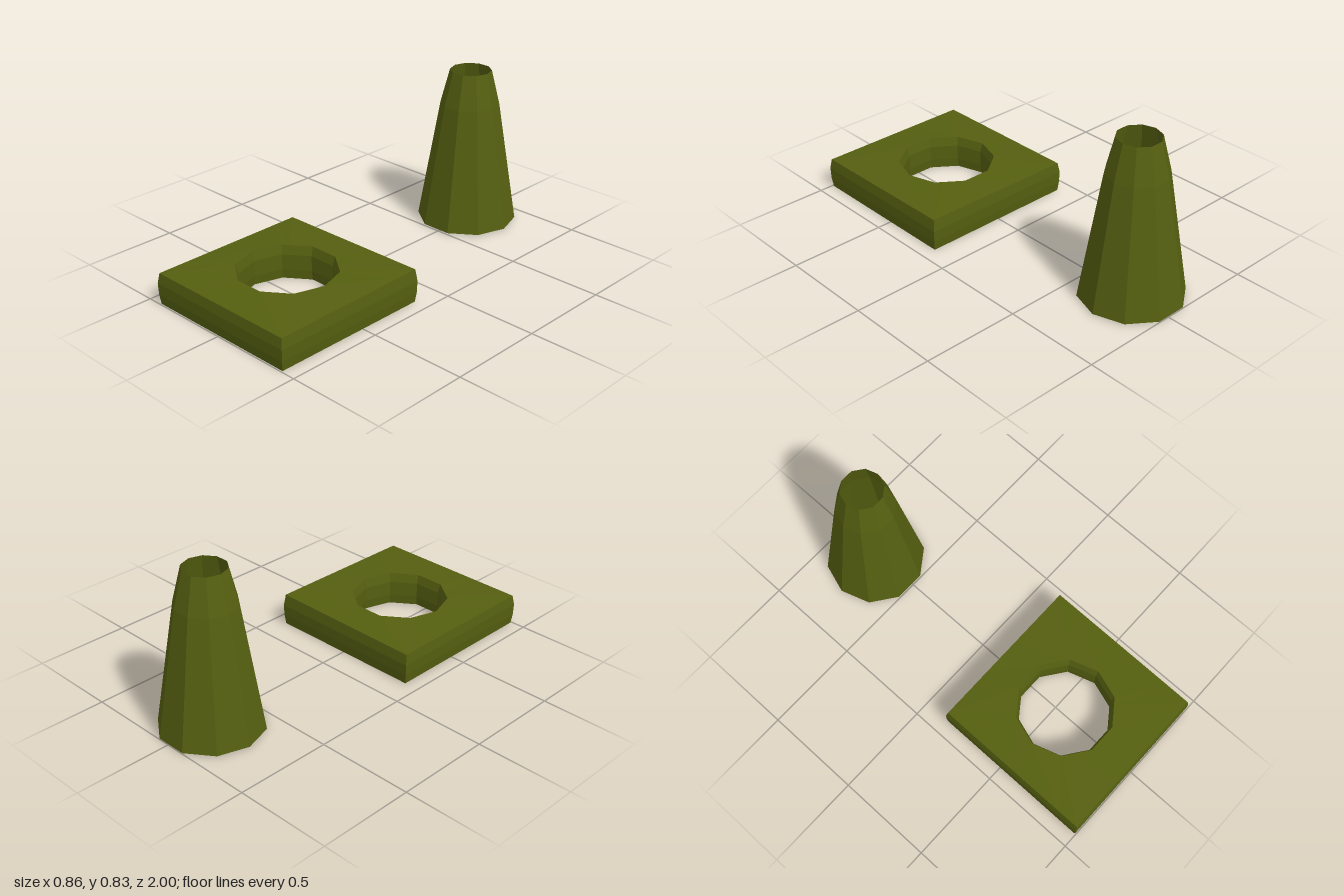
import * as THREE from 'three';

const olive = new THREE.MeshStandardMaterial({ color: 0x555f10, flatShading: true, side: THREE.DoubleSide });
const STEP = Math.PI / 5;

// Angles of the ten hole corners plus the four plate corners
const angles = [];
for (let i = 0; i < 10; i++) angles.push(i * STEP);
for (let i = 0; i < 4; i++) angles.push(Math.PI / 4 + i * Math.PI / 2);
angles.sort((a, b) => a - b);

// Point on a square of given half size
function squarePoint(a, half, y) {
  const c = Math.cos(a), s = Math.sin(a);
  const k = half / Math.max(Math.abs(c), Math.abs(s));
  return [c * k, y, s * k];
}

// Point on a decagon of given corner radius, set slightly off centre
function holePoint(a, r, y) {
  const local = a % STEP;
  const k = r * Math.cos(STEP / 2) / Math.cos(local - STEP / 2);
  return [Math.cos(a) * k - 0.01, y, Math.sin(a) * k - 0.008];
}

// Outer top edge: low at the front and left, higher at the back right corner
function topEdge(a) {
  const p = squarePoint(a, 0.422, 0);
  const u = (p[0] / 0.422 + 1) / 2, v = (1 - p[2] / 0.422) / 2;
  p[1] = 0.163 + 0.009 * u * v;
  return p;
}

// Loft through bulged sides, over the top, down the hole and back underneath
function plateGeometry() {
  const rings = [
    a => squarePoint(a, 0.422, 0),
    a => squarePoint(a, 0.428, 0.05),
    a => squarePoint(a, 0.43, 0.11),
    topEdge,
    a => holePoint(a, 0.25, 0.177),
    a => holePoint(a, 0.236, 0.13),
    a => holePoint(a, 0.236, 0.05),
    a => holePoint(a, 0.242, 0),
  ];
  const n = angles.length, m = rings.length;
  const pos = [], idx = [];
  for (const ring of rings) for (const a of angles) pos.push(...ring(a));
  for (let j = 0; j < m; j++) {
    for (let i = 0; i < n; i++) {
      const k = (i + 1) % n, up = ((j + 1) % m) * n;
      const a = j * n + i, b = up + i, c = up + k, d = j * n + k;
      idx.push(a, b, c, a, c, d);
    }
  }
  const g = new THREE.BufferGeometry();
  g.setAttribute('position', new THREE.Float32BufferAttribute(pos, 3));
  g.setIndex(idx);
  const flat = g.toNonIndexed();
  flat.computeVertexNormals();
  return flat;
}

export function createModel() {
  const group = new THREE.Group();

  // Square base with a ten-sided hole
  const base = new THREE.Mesh(plateGeometry(), olive);
  base.name = 'basePlate';
  base.position.z = 0.57;
  group.add(base);

  // Hollow tapered cone, open at both ends
  const profile = [[0.26, 0.005], [0.153, 0.65], [0.108, 0.83]].map(p => new THREE.Vector2(...p));
  const cone = new THREE.Mesh(new THREE.LatheGeometry(profile, 10, Math.PI / 2), olive);
  cone.name = 'coneShell';
  cone.position.set(-0.02, 0, -0.753);
  group.add(cone);

  return group;
}
